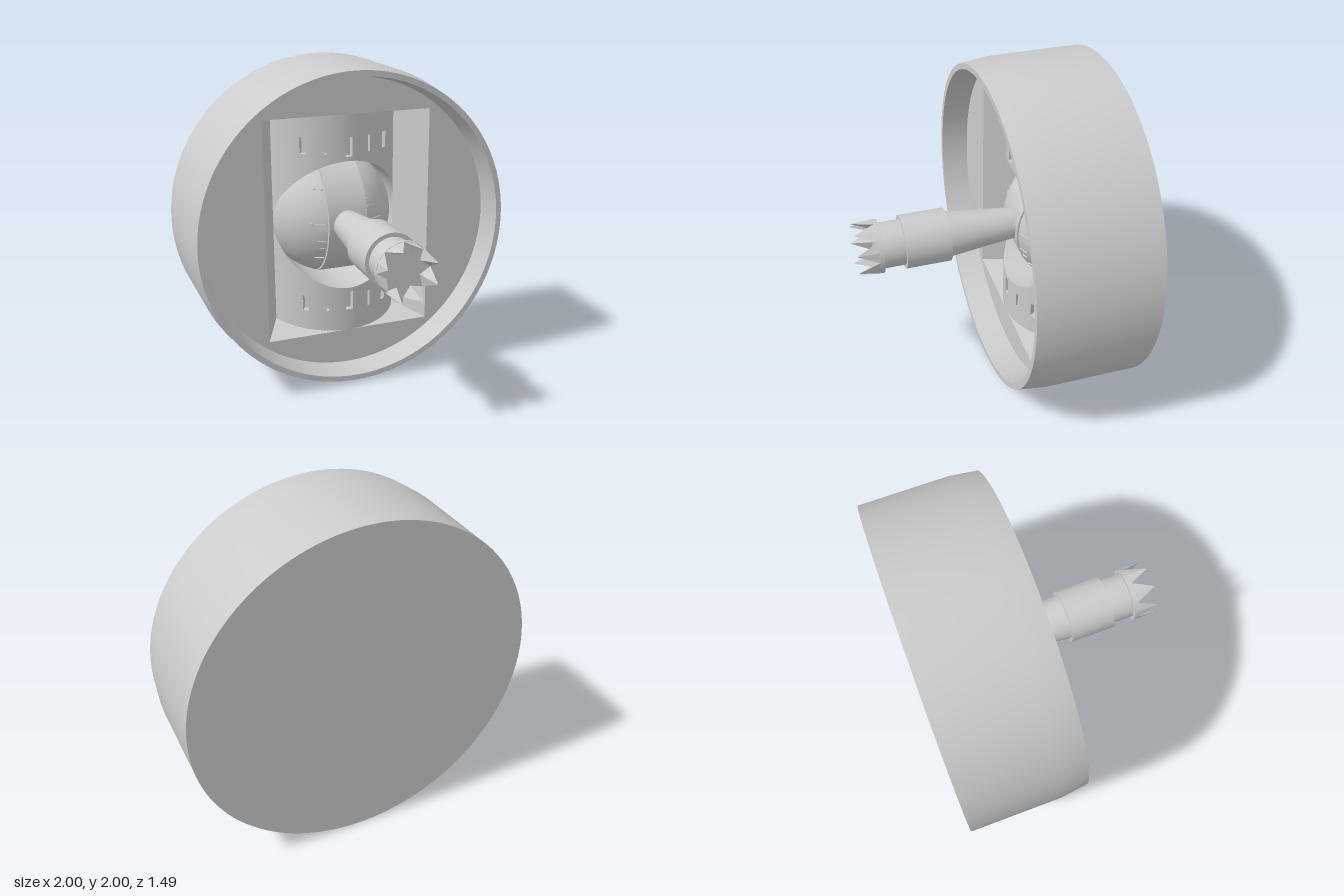
import * as THREE from 'three';
import { toCreasedNormals } from 'three/addons/utils/BufferGeometryUtils.js';

const PLATE = -0.2;                 // z of the recessed front plate
const DRUM_R = 0.445;               // radius of the curved cover
const HOLE_R = 0.413;               // round opening for the ball
const HALF_W = 0.41;                // half width of the curved cover
const BALL = { r: 0.41, z: -0.61, groove: 0.13 };

const grey = new THREE.MeshStandardMaterial({ color: 0xcccccc });
const thin = new THREE.MeshStandardMaterial({ color: 0xcccccc, side: THREE.DoubleSide });
const inside = new THREE.MeshStandardMaterial({ color: 0xcccccc, side: THREE.BackSide });

function add(parent, name, geometry, material = grey) {
  const mesh = new THREE.Mesh(geometry, material);
  mesh.name = name;
  parent.add(mesh);
  return mesh;
}

// Turned part with its axis along z; profile is [radius, z] pairs
function turned(profile, segments = 96, start = 0, sweep = Math.PI * 2) {
  const g = new THREE.LatheGeometry(profile.map(([r, z]) => new THREE.Vector2(r, z)), segments, start, sweep);
  return toCreasedNormals(g.rotateX(Math.PI / 2), 0.45);
}

// Surface from four-cornered patches
function patches(quads, crease = 0.5) {
  const p = [];
  for (const [a, b, c, d] of quads) p.push(...a, ...b, ...c, ...a, ...c, ...d);
  const g = new THREE.BufferGeometry();
  g.setAttribute('position', new THREE.Float32BufferAttribute(p, 3));
  return toCreasedNormals(g, crease);
}

const depthAt = x => DRUM_R - Math.sqrt(DRUM_R * DRUM_R - x * x);
const coverZ = x => PLATE - depthAt(x);
// Cover heights are measured from the centre, y = 1
const coverTop = x => 0.7 - 0.035 * depthAt(x) / depthAt(HALF_W);
const holeTop = x => Math.sqrt(Math.max(0, HOLE_R * HOLE_R - x * x));

// Slots in the cover: centre x, width, lower and upper height from the centre
const slots = [[0, 0.045, 0.44, 0.56]];
for (const s of [-1, 1]) slots.push([s * 0.14, 0.016, 0.46, 0.56], [s * 0.265, 0.032, 0.46, 0.56]);

function coverGeometry() {
  const xs = [];
  for (let i = 0; i <= 48; i++) xs.push(HALF_W * Math.sin((i / 48 - 0.5) * Math.PI));
  for (const [x, w] of slots) xs.push(x - w / 2, x + w / 2);
  xs.sort((a, b) => a - b);
  const quads = [];
  for (let i = 0; i + 1 < xs.length; i++) {
    const a = xs[i], b = xs[i + 1], mid = (a + b) / 2;
    if (b - a < 1e-6) continue;
    const slot = slots.find(([x, w]) => Math.abs(mid - x) < w / 2);
    const spans = slot ? [[holeTop, () => slot[2]], [() => slot[3], coverTop]] : [[holeTop, coverTop]];
    for (const [lo, hi] of spans) {
      quads.push([[a, 1 + lo(a), coverZ(a)], [b, 1 + lo(b), coverZ(b)], [b, 1 + hi(b), coverZ(b)], [a, 1 + hi(a), coverZ(a)]]);
      quads.push([[a, 1 - hi(a), coverZ(a)], [b, 1 - hi(b), coverZ(b)], [b, 1 - lo(b), coverZ(b)], [a, 1 - lo(a), coverZ(a)]]);
    }
  }
  return patches(quads);
}

// Wall of the round opening, from the cover back to the ball centre
function holeWall() {
  const quads = [], n = 72;
  const at = (i, back) => {
    const t = i / n * Math.PI * 2, x = HOLE_R * Math.cos(t);
    const cx = THREE.MathUtils.clamp(x, -HALF_W, HALF_W);
    return [x, 1 + HOLE_R * Math.sin(t), back ? BALL.z : coverZ(cx)];
  };
  for (let i = 0; i < n; i++) quads.push([at(i, 0), at(i + 1, 0), at(i + 1, 1), at(i, 1)]);
  return patches(quads);
}

// Sloping walls between the plate opening and the cover
function pocketWalls() {
  const zb = coverZ(HALF_W);
  const outer = [[-0.535, 0.3], [0.535, 0.3], [0.535, 1.7], [-0.535, 1.7]].map(p => [...p, PLATE]);
  const inner = [[-HALF_W, 0.335], [HALF_W, 0.335], [HALF_W, 1.665], [-HALF_W, 1.665]].map(p => [...p, zb]);
  return patches(outer.map((o, i) => [o, outer[(i + 1) % 4], inner[(i + 1) % 4], inner[i]]), 0.1);
}

// Pointed crown tooth: curved outer side, apex on the rim, edge towards the middle
function toothGeometry(angle) {
  const pt = (r, a, z) => [r * Math.cos(a), r * Math.sin(a), z];
  const h = Math.PI / 8, zb = 0.62;
  const apex = pt(0.159, angle, 0.745), core = pt(0.105, angle, zb);
  const left = pt(0.16, angle + h, zb), right = pt(0.16, angle - h, zb), mid = pt(0.16, angle, zb);
  const g = new THREE.BufferGeometry();
  g.setAttribute('position', new THREE.Float32BufferAttribute(
    [right, mid, apex, mid, left, apex, left, core, apex, core, right, apex].flat(), 3));
  g.computeVertexNormals();
  return g;
}

export function createModel() {
  const model = new THREE.Group();
  model.name = 'thumbstickGimbal';

  // Round housing with chamfered rim
  add(model, 'housing', turned([[0, -0.745], [1, -0.745], [1, -0.2], [0.98, -0.035], [0.945, -0.035], [0.925, PLATE]], 128)).position.y = 1;

  // Recessed plate with rectangular opening
  const plate = new THREE.Shape().absarc(0, 1, 0.928, 0, Math.PI * 2);
  plate.holes.push(new THREE.Path([[-0.535, 0.3], [-0.535, 1.7], [0.535, 1.7], [0.535, 0.3]].map(p => new THREE.Vector2(...p))));
  add(model, 'frontPlate', new THREE.ShapeGeometry(plate, 64)).position.z = PLATE;
  add(model, 'pocketWalls', pocketWalls(), thin);

  // Curved cover with ball opening, its floor, and slots sunk square to the curve
  add(model, 'curvedCover', coverGeometry(), thin);
  add(model, 'ballOpening', holeWall(), thin);
  add(model, 'openingFloor', new THREE.CircleGeometry(HOLE_R, 72)).position.set(0, 1, BALL.z);
  const slotDepth = 0.04;
  for (const [x, w, lo, hi] of slots) {
    const turn = Math.asin(x / DRUM_R);
    for (const s of [-1, 1]) {
      const slot = add(model, 'coverSlot', new THREE.BoxGeometry(w / Math.cos(turn), hi - lo, slotDepth), inside);
      slot.position.set(x - Math.sin(turn) * slotDepth / 2, 1 + s * (lo + hi) / 2, coverZ(x) - Math.cos(turn) * slotDepth / 2);
      slot.rotation.y = turn;
    }
  }

  // Front half of a ball, turned about x, with a groove around its middle
  const half = [[0.34, BALL.groove]], start = Math.acos(BALL.groove / BALL.r);
  for (let i = 0; i <= 20; i++) {
    const t = start * (1 - i / 20);
    half.push([BALL.r * Math.sin(t), BALL.r * Math.cos(t)]);
  }
  const mirrored = half.map(([r, x]) => [r, -x]).reverse();
  const ball = new THREE.Group();
  ball.name = 'ball';
  ball.position.set(0, 1, BALL.z);
  model.add(ball);
  add(ball, 'groovedBall', turned([...mirrored, ...half], 48, Math.PI, Math.PI).rotateY(Math.PI / 2));

  // Band running in the groove
  add(ball, 'band', new THREE.CylinderGeometry(0.398, 0.398, 0.252, 48, 1, false, -Math.PI / 2, Math.PI).rotateZ(Math.PI / 2));

  // Scale marks beside the band, lying level on the ball
  const addMark = (name, x, y, length, height) => {
    const ring = Math.sqrt(BALL.r ** 2 - y * y);
    const mark = add(ball, name, new THREE.BoxGeometry(length, height, 0.03));
    mark.position.set(x, y, Math.sqrt(ring * ring - x * x) - 0.01);
    mark.rotation.set(-Math.asin(y / BALL.r), Math.asin(x / ring), 0, 'YXZ');
  };
  for (const s of [-1, 1]) {
    for (const y of [0.1, 0.15, 0.22]) {
      const length = y === 0.15 ? 0.04 : 0.06;
      for (const v of [-1, 1]) addMark('scaleMark', s * (BALL.groove + length / 2), v * y, length, 0.01);
    }
    addMark('centreMark', s * 0.185, 0, 0.1, 0.042);
  }

  // Stick with collar, neck and toothed crown
  const stick = new THREE.Group();
  stick.name = 'stick';
  stick.position.y = 1;
  model.add(stick);
  add(stick, 'shaft', turned([
    [0.09, -0.26], [0.112, -0.04], [0.138, 0.19], [0.16, 0.19], [0.16, 0.46],
    [0.136, 0.46], [0.136, 0.59], [0.16, 0.59], [0.16, 0.62], [0, 0.62],
  ], 64));
  for (let i = 0; i < 8; i++) add(stick, 'crownTooth', toothGeometry((i + 0.5) * Math.PI / 4));

  return model;
}
